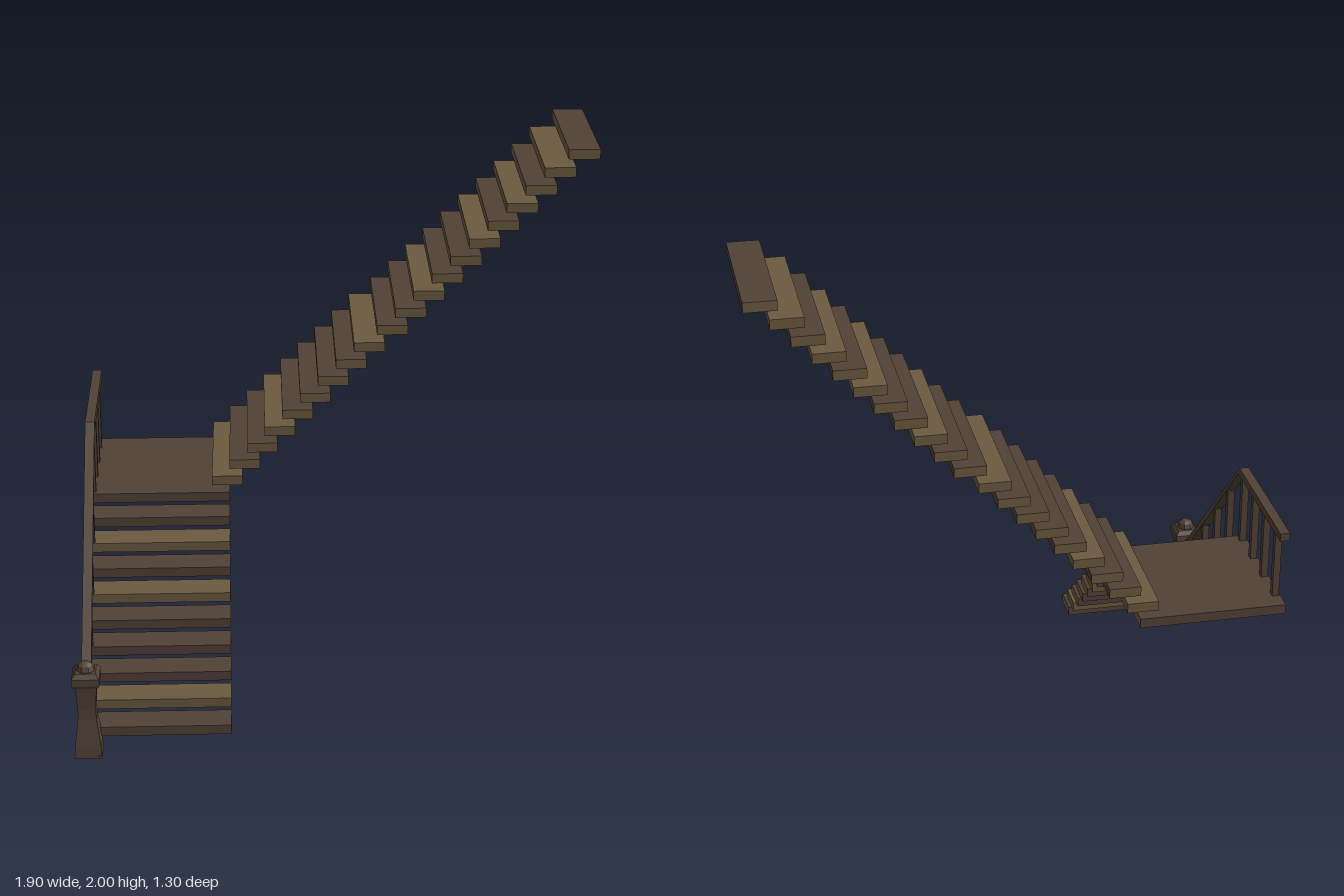
import * as THREE from 'three';

const mat = (name, color) => {
  const m = new THREE.MeshStandardMaterial({ color });
  m.name = name;
  return m;
};

export function createModel() {
  const olive = mat('olive wood', 0x6b5a40);
  const brown = mat('brown wood', 0x524236);
  const red = mat('reddish wood', 0x523e39);
  const wood = { o: olive, b: brown, r: red };

  const model = new THREE.Group();
  model.name = 'staircase';
  const add = (parent, name, geometry, material) => {
    const m = new THREE.Mesh(geometry, material);
    m.name = name;
    parent.add(m);
    return m;
  };
  const group = (name) => {
    const g = new THREE.Group();
    g.name = name;
    model.add(g);
    return g;
  };
  // box given by its lower and upper corners
  const box = (x0, x1, y0, y1, z0, z1) =>
    new THREE.BoxGeometry(x1 - x0, y1 - y0, z1 - z0)
      .translate((x0 + x1) / 2, (y0 + y1) / 2, (z0 + z1) / 2);

  const rise = 0.0659, first = 0.07, half = 0.018;
  const left = -0.92, right = -0.39, back = -0.65, front = -0.125;
  const flat = (c) => (c === 'o' ? olive : brown);

  // lower flight, climbing towards the back; end grain is olive
  const lower = group('lowerFlight');
  [...'borrbobob'].forEach((c, i) => {
    const y = first + i * rise, z = 0.58 - i * 0.079;
    add(lower, 'lowerTread', box(left, right, y - half, y + half, z - 0.112, z),
      [olive, olive, flat(c), flat(c), wood[c], wood[c]]);
  });

  // corner landing
  const ly = first + 9 * rise;
  add(model, 'landing', box(left, right, ly - half, ly + half, back, front),
    [olive, olive, brown, brown, brown, brown]);

  // upper flight, climbing towards +x
  const upper = group('upperFlight');
  [...'orrorbbborborbororob'.slice(0, 20)].forEach((c, i) => {
    const y = first + (10 + i) * rise;
    const x = -0.455 + i * 0.0661 + (i > 8 ? 0.018 : 0) + (i > 18 ? 0.018 : 0);
    add(upper, 'upperTread', box(x, x + 0.113, y - half, y + half, back, front),
      [wood[c], olive, flat(c), flat(c), olive, olive]);
  });

  // handrail: side profile in (z, y), sloped then level
  const railing = group('railing');
  const profile = new THREE.Shape([
    [0.57, 0.23], [0.57, 0.272], [-0.135, 0.97], [back, 0.97], [back, 0.94], [-0.122, 0.94],
  ].map(([z, y]) => new THREE.Vector2(z, y)));
  const rail = new THREE.ExtrudeGeometry(profile, { depth: 0.035, bevelEnabled: false });
  rail.rotateY(-Math.PI / 2).translate(-0.885, 0, 0);
  add(railing, 'handrail', rail, brown);

  // balusters: every second lower tread, then along the landing
  const baluster = (z, y0, y1) =>
    add(railing, 'baluster', box(-0.915, -0.89, y0, y1, z - 0.0125, z + 0.0125), brown);
  for (let i = 0; i < 4; i++) {
    const z = 0.485 - i * 0.156;
    baluster(z, first + (1 + 2 * i) * rise + half, 0.25 + (0.57 - z) * 0.99);
    baluster(-0.155 - i * 0.138, ly + half, 0.955);
  }

  // newel post: square turned profile with flat sides
  const newel = group('newelPost');
  const turned = (points, sides) => {
    const k = 1 / Math.cos(Math.PI / sides);
    const g = new THREE.LatheGeometry(
      points.map(([r, y]) => new THREE.Vector2(r * k, y)), sides, Math.PI / sides).toNonIndexed();
    g.computeVertexNormals();
    return g.translate(-0.9, 0, 0.6);
  };
  add(newel, 'newelShaft', turned([
    [0, 0.005], [0.049, 0.005], [0.047, 0.04], [0.04, 0.095], [0.033, 0.15], [0.032, 0.19],
    [0.035, 0.24], [0.039, 0.285], [0, 0.285],
  ], 4), brown);
  add(newel, 'newelBase', box(-0.949, -0.851, 0, 0.012, 0.551, 0.649), brown);
  add(newel, 'newelCap', turned([
    [0, 0.28], [0.042, 0.28], [0.049, 0.292], [0.049, 0.318], [0.036, 0.335], [0, 0.335],
  ], 4), brown);
  add(newel, 'newelFinial', turned([
    [0.03, 0.325], [0.031, 0.34], [0.025, 0.355], [0.013, 0.365], [0, 0.367],
  ], 8), brown);

  return model;
}
